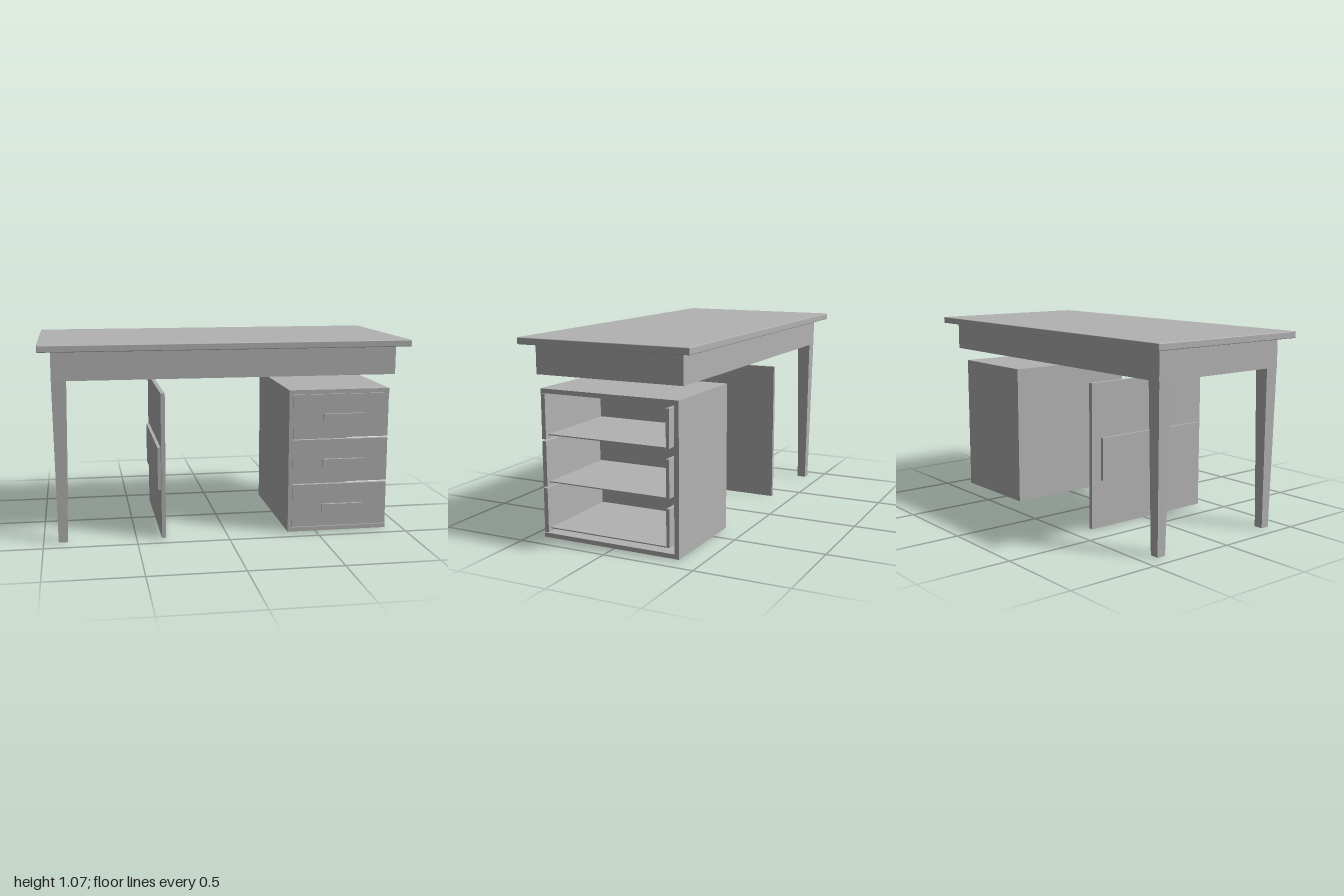
import * as THREE from 'three';
import { RoundedBoxGeometry } from 'three/addons/geometries/RoundedBoxGeometry.js';

export function createModel() {
  const desk = new THREE.Group();
  desk.name = 'desk';
  const grey = new THREE.MeshStandardMaterial({ color: 0xb2b2b2 });
  grey.name = 'plain grey';

  // Adds a named mesh to a parent group
  const add = (parent, name, geometry) => {
    const mesh = new THREE.Mesh(geometry, grey);
    mesh.name = name;
    parent.add(mesh);
    return mesh;
  };
  // Board given by its extents on each axis
  const board = (parent, name, [x0, x1], [y0, y1], [z0, z1]) => {
    const mesh = add(parent, name, new THREE.BoxGeometry(x1 - x0, y1 - y0, z1 - z0));
    mesh.position.set((x0 + x1) / 2, (y0 + y1) / 2, (z0 + z1) / 2);
    return mesh;
  };
  const group = (name) => {
    const g = new THREE.Group();
    g.name = name;
    desk.add(g);
    return g;
  };

  // Table top with slightly eased edges
  const top = add(desk, 'tableTop', new RoundedBoxGeometry(2, 0.036, 0.97, 2, 0.004));
  top.position.y = 1.053;

  // Hollow apron frame under the top
  const apron = new THREE.Shape();
  apron.moveTo(-0.933, -0.42).lineTo(0.933, -0.42).lineTo(0.933, 0.42).lineTo(-0.933, 0.42).closePath();
  const hollow = new THREE.Path();
  hollow.moveTo(-0.903, -0.39).lineTo(-0.903, 0.39).lineTo(0.903, 0.39).lineTo(0.903, -0.39).closePath();
  apron.holes.push(hollow);
  const apronGeometry = new THREE.ExtrudeGeometry(apron, { depth: 0.157, bevelEnabled: false });
  apronGeometry.rotateX(-Math.PI / 2);
  add(desk, 'apron', apronGeometry).position.y = 0.878;

  // Tapered legs on one end, straight where they join the apron
  const legTop = 0.076, legFoot = 0.05, legHeight = 0.878;
  const legGeometry = new THREE.BoxGeometry(legTop, legHeight, legTop);
  const p = legGeometry.attributes.position;
  for (let i = 0; i < p.count; i++) {
    if (p.getY(i) < 0) {
      p.setX(i, p.getX(i) * legFoot / legTop);
      p.setZ(i, p.getZ(i) * legFoot / legTop);
    }
  }
  legGeometry.computeVertexNormals();
  for (const [name, side] of [['frontLeg', 1], ['backLeg', -1]]) {
    const leg = group(name);
    leg.position.set(-0.895, 0, side * 0.381);
    add(leg, name + 'Taper', legGeometry).position.y = legHeight / 2;
    board(leg, name + 'Block', [-0.036, 0.037], [legHeight, 1.034], [-0.037, 0.037]);
  }

  // Cabinet case, open on its outer side
  const cabinet = group('drawerCabinet');
  const depth = [-0.378, 0.42];
  board(cabinet, 'cabinetSide', [0.34, 0.363], [0.003, 0.801], depth);
  board(cabinet, 'cabinetTop', [0.363, 0.904], [0.777, 0.801], depth);
  board(cabinet, 'cabinetBottom', [0.363, 0.904], [0.003, 0.027], depth);
  board(cabinet, 'cabinetBack', [0.363, 0.904], [0.027, 0.777], [-0.378, -0.352]);

  // Three drawers: front, floor, back and a handle held off the front
  const drawers = [
    { front: [0.03, 0.27], floor: 0.05, handle: 0.148 },
    { front: [0.281, 0.523], floor: 0.302, handle: 0.402 },
    { front: [0.533, 0.775], floor: 0.555, handle: 0.654 },
  ];
  drawers.forEach(({ front, floor, handle }, i) => {
    const drawer = group('drawer' + (i + 1));
    board(drawer, 'drawerFront', [0.364, 0.902], front, [0.396, 0.42]);
    board(drawer, 'drawerFloor', [0.37, 0.89], [floor, floor + 0.006], [-0.3, 0.387]);
    board(drawer, 'drawerBack', [0.37, 0.89], [floor, floor + 0.2], [-0.318, -0.3]);
    board(drawer, 'drawerHandle', [0.52, 0.75], [handle - 0.022, handle + 0.022], [0.463, 0.478]);
  });

  // Inner support panel, and the mirrored pair of middle drawer sides
  board(desk, 'supportPanel', [-0.363, -0.34], [0.003, 0.801], depth);
  board(desk, 'supportPanelPlate', [-0.38, -0.363], [0.267, 0.502], [-0.318, 0.395]);
  board(cabinet, 'middleDrawerSide', [0.363, 0.38], [0.267, 0.502], [-0.318, 0.395]);

  return desk;
}
